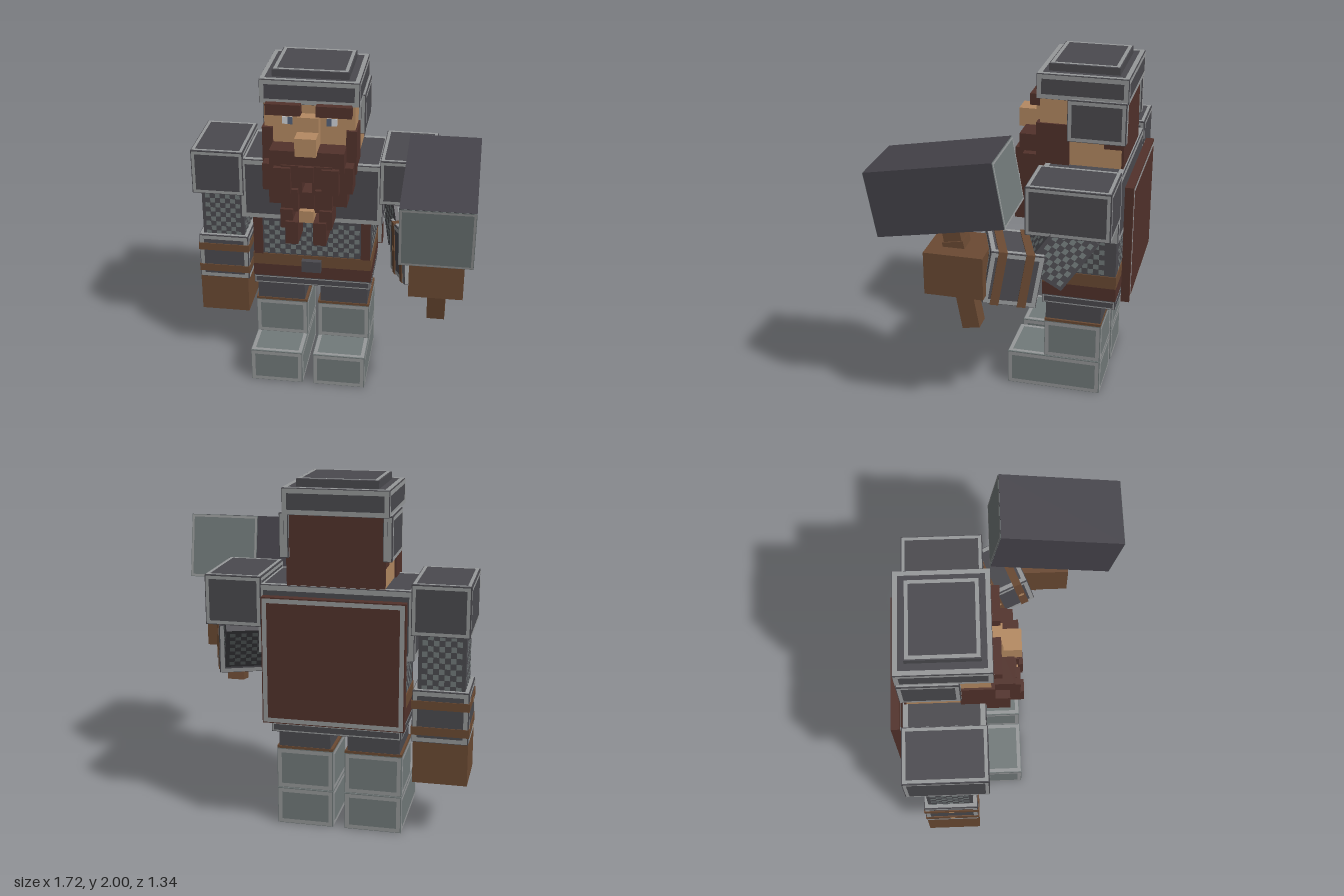
import * as THREE from 'three';
import { mergeGeometries } from 'three/addons/utils/BufferGeometryUtils.js';

const CX = -0.13; // body centre line

const material = (name, color) => {
  const m = new THREE.MeshStandardMaterial({ color });
  m.name = name;
  return m;
};
const iron = material('dark iron', 0x4b4a4f);
const steel = material('hammer steel', 0x45434a);
const trim = material('light trim', 0x97999a);
const plate = material('grey plate', 0x727a7a);
const leather = material('leather', 0x6b4a33);
const hair = material('dark brown', 0x52322b);
const skin = material('skin', 0xb58a62);
const white = material('eye white', 0xcfd3d8);
const iris = material('iris', 0x56637a);

// Rotation that turns a +z facing plate to each side of a box
const SIDES = {
  px: [0, Math.PI / 2], nx: [0, -Math.PI / 2], pz: [0, 0],
  nz: [0, Math.PI], py: [-Math.PI / 2, 0], ny: [Math.PI / 2, 0],
};
const ALL = Object.keys(SIDES);
const ROUND = ['px', 'nx', 'pz', 'nz'];

function box(parent, name, mat, x0, x1, y0, y1, z0, z1) {
  const size = [x1 - x0, y1 - y0, z1 - z0];
  const mesh = new THREE.Mesh(new THREE.BoxGeometry(...size), mat);
  mesh.position.set((x0 + x1) / 2, (y0 + y1) / 2, (z0 + z1) / 2);
  mesh.name = name;
  mesh.userData.size = size;
  parent.add(mesh);
  return mesh;
}

// Lays a flat detail over chosen sides of a box
function cover(mesh, name, mat, sides, makeGeometry) {
  const [w, h, d] = mesh.userData.size;
  for (const s of sides) {
    const axis = s[1];
    const [fw, fh, off] = axis === 'x' ? [d, h, w] : axis === 'y' ? [w, d, h] : [w, h, d];
    const g = makeGeometry(fw, fh).translate(0, 0, off / 2 + 0.003);
    g.rotateX(SIDES[s][0]).rotateY(SIDES[s][1]);
    const p = new THREE.Mesh(g, mat);
    p.name = name;
    mesh.add(p);
  }
  return mesh;
}

function rect(path, w, h) {
  path.moveTo(-w / 2, -h / 2).lineTo(w / 2, -h / 2).lineTo(w / 2, h / 2).lineTo(-w / 2, h / 2).closePath();
  return path;
}

// Light border, set in slightly from the edges
const frame = (mesh, t = 0.02, inset = 0.004, sides = ALL) =>
  cover(mesh, 'trim border', trim, sides, (w, h) => {
    const s = rect(new THREE.Shape(), w - 2 * inset, h - 2 * inset);
    s.holes.push(rect(new THREE.Path(), w - 2 * (inset + t), h - 2 * (inset + t)));
    return new THREE.ShapeGeometry(s);
  });

// Woven rings of chain mail
const mail = (mesh, sides, marginX = 0.02, marginY = 0.02) =>
  cover(mesh, 'mail rings', plate, sides, (w, h) => {
    const nx = Math.round((w - 2 * marginX) / 0.033), ny = Math.round((h - 2 * marginY) / 0.033);
    const cw = (w - 2 * marginX) / nx, ch = (h - 2 * marginY) / ny, list = [];
    for (let i = 0; i < nx; i++) for (let j = 0; j < ny; j++) {
      if ((i + j) % 2) continue;
      list.push(new THREE.PlaneGeometry(cw * 0.95, ch * 0.95)
        .translate((i + 0.5) * cw - w / 2 + marginX, (j + 0.5) * ch - h / 2 + marginY, 0));
    }
    return mergeGeometries(list);
  });

// Pair of boxes mirrored about the body's centre line
function pair(parent, name, mat, x0, x1, ...rest) {
  return [box(parent, name, mat, x0, x1, ...rest), box(parent, name, mat, -x1, -x0, ...rest)];
}

// Bracer along y, with two studded straps
function bracer(parent) {
  const b = box(parent, 'bracer', iron, -0.155, 0.155, -0.148, 0.148, -0.155, 0.155);
  frame(b, 0.024, 0.004);
  for (const y of [-0.082, 0.068]) {
    const strap = box(b, 'bracer strap', leather, -0.16, 0.16, y - 0.024, y + 0.024, -0.16, 0.16);
    cover(strap, 'strap stud', skin, ['nx'], () => new THREE.CircleGeometry(0.018, 8));
  }
  return b;
}

export function createModel() {
  const root = new THREE.Group();
  root.name = 'hammerWarrior';
  const body = new THREE.Group();
  body.name = 'body';
  body.position.x = CX;
  root.add(body);

  // Legs and boots
  pair(body, 'trouserLeg', iron, 0.05, 0.345, 0.4, 0.6, -0.5, -0.17);
  pair(body, 'bootCuff', leather, 0.034, 0.358, 0.46, 0.475, -0.503, -0.165);
  pair(body, 'bootShaft', plate, 0.034, 0.358, 0.222, 0.46, -0.503, -0.165)
    .forEach(m => frame(m, 0.022, 0.004, ROUND));
  pair(body, 'bootFoot', plate, 0.034, 0.358, 0, 0.218, -0.503, 0.06)
    .forEach(m => frame(m, 0.022, 0.004, [...ROUND, 'py']));

  // Torso, belt and skirt
  mail(box(body, 'mailShirt', iron, -0.36, 0.36, 0.78, 1.06, -0.58, -0.155), ROUND, 0.065, 0.03);
  pair(body, 'sideStrap', hair, 0.303, 0.36, 0.8, 1.05, -0.156, -0.147);
  box(body, 'belt', leather, -0.366, 0.366, 0.725, 0.802, -0.585, -0.15);
  box(body, 'skirt', hair, -0.366, 0.366, 0.645, 0.725, -0.585, -0.15);
  frame(box(body, 'skirtHem', iron, -0.364, 0.364, 0.59, 0.645, -0.583, -0.152), 0.007, 0.004, ROUND);
  box(body, 'buckle', iron, -0.06, 0.06, 0.705, 0.78, -0.15, -0.115);
  frame(box(body, 'breastplate', iron, -0.428, 0.428, 1.05, 1.432, -0.597, -0.145), 0.028, 0.002);
  frame(box(body, 'cape', hair, -0.393, 0.393, 0.67, 1.38, -0.668, -0.62), 0.025, 0.006, ['nz', 'pz']);
  pair(body, 'shoulderGuard', iron, 0.41, 0.725, 1.195, 1.473, -0.603, -0.137)
    .forEach(m => frame(m, 0.018, 0.005));

  // Head and hair
  box(body, 'head', skin, -0.265, 0.265, 1.42, 1.82, -0.58, -0.11);
  box(body, 'backHair', hair, -0.268, 0.268, 1.42, 1.82, -0.588, -0.575);
  pair(body, 'hairTuft', hair, 0.26, 0.27, 1.545, 1.59, -0.588, -0.475);
  pair(body, 'sideburn', hair, 0.215, 0.277, 1.4, 1.67, -0.28, -0.09);
  pair(body, 'eyebrow', hair, 0.045, 0.25, 1.762, 1.828, -0.27, -0.05);
  box(body, 'noseBridge', skin, -0.062, 0.062, 1.67, 1.76, -0.11, -0.04);
  box(body, 'nose', skin, -0.062, 0.062, 1.562, 1.672, -0.11, 0.06);
  pair(body, 'eyeWhite', white, 0.1, 0.16, 1.69, 1.735, -0.11, -0.106);
  pair(body, 'eyeIris', iris, 0.1, 0.128, 1.69, 1.735, -0.106, -0.103);

  // Helmet
  frame(box(body, 'helmet', iron, -0.288, 0.288, 1.817, 1.958, -0.605, -0.095), 0.025, 0.002);
  frame(box(body, 'helmetCrown', iron, -0.222, 0.222, 1.958, 2, -0.545, -0.15), 0.02, 0.006, ['py']);
  pair(body, 'earGuard', iron, 0.255, 0.304, 1.585, 1.825, -0.6, -0.272)
    .forEach(m => frame(m, 0.02, 0.004));

  // Beard built from overlapping blocks
  box(body, 'moustache', hair, -0.217, 0.217, 1.45, 1.575, -0.13, 0.02);
  box(body, 'chinBlock', hair, -0.045, 0.045, 1.395, 1.49, -0.12, 0.045);
  box(body, 'beardCentre', hair, -0.045, 0.045, 1.2, 1.315, -0.15, 0.01);
  const blocks = [
    [0.15, 0.265, 1.31, 1.475, -0.01],
    [0.045, 0.15, 1.39, 1.49, 0.03],
    [0.09, 0.19, 1.32, 1.48, 0.05],
    [0.03, 0.11, 1.3, 1.42, 0.01],
    [0.14, 0.23, 1.22, 1.34, -0.02],
    [0.05, 0.15, 1.2, 1.34, 0.035],
  ];
  for (const [x0, x1, y0, y1, z] of blocks) pair(body, 'beardBlock', hair, x0, x1, y0, y1, -0.14, z);
  pair(body, 'beardBraid', hair, 0.078, 0.152, 1.1, 1.22, -0.12, 0.055);
  pair(body, 'braidTip', hair, 0.045, 0.12, 1.005, 1.15, -0.1, 0.075);
  box(body, 'beardBead', skin, -0.042, 0.042, 1.135, 1.21, -0.12, 0.045);

  // Right arm, hanging
  const rightArm = new THREE.Group();
  rightArm.name = 'rightArm';
  rightArm.position.set(-0.698, 0, -0.37);
  root.add(rightArm);
  mail(box(rightArm, 'upperArm', iron, -0.13, 0.13, 0.84, 1.2, -0.13, 0.13), ROUND);
  bracer(rightArm).position.y = 0.718;
  box(rightArm, 'fist', leather, -0.157, 0.147, 0.33, 0.572, -0.155, 0.155);

  // Left arm, bent forward
  const limb = (name, x, y, z, pitch) => {
    const g = new THREE.Group();
    g.name = name;
    g.position.set(x, y, z);
    g.rotation.set(pitch, 0.36, 0, 'YXZ');
    root.add(g);
    return g;
  };
  mail(box(limb('leftUpperArm', 0.455, 1.08, -0.29, -0.65), 'upperArm', iron,
    -0.13, 0.13, -0.17, 0.17, -0.13, 0.13), ROUND);
  bracer(limb('leftForearm', 0.55, 0.965, -0.045, -1.745));
  box(root, 'leftFist', leather, 0.5, 0.808, 0.882, 1.13, 0.04, 0.37);

  // War hammer
  const hammer = new THREE.Group();
  hammer.name = 'warHammer';
  hammer.position.set(0.655, 1.459, 0.285);
  hammer.rotation.x = 0.174;
  root.add(hammer);
  const head = box(hammer, 'hammerHead', steel, -0.2, 0.2, -0.184, 0.184, -0.353, 0.353);
  cover(head, 'strikingFace', plate, ['pz', 'nz'], (w, h) => new THREE.PlaneGeometry(w, h));
  for (const s of [-1, 1]) {
    const rim = box(hammer, 'faceBacking', plate, -0.199, 0.199, -0.183, 0.183, s * 0.353 - 0.002, s * 0.353 + 0.002);
    frame(rim, 0.012, 0.002, [s > 0 ? 'pz' : 'nz']);
  }
  box(hammer, 'handle', leather, -0.052, 0.052, -0.83, -0.18, -0.05, 0.05);
  box(hammer, 'handleCollar', leather, -0.06, 0.06, -0.37, -0.3, -0.06, 0.06);

  return root;
}
